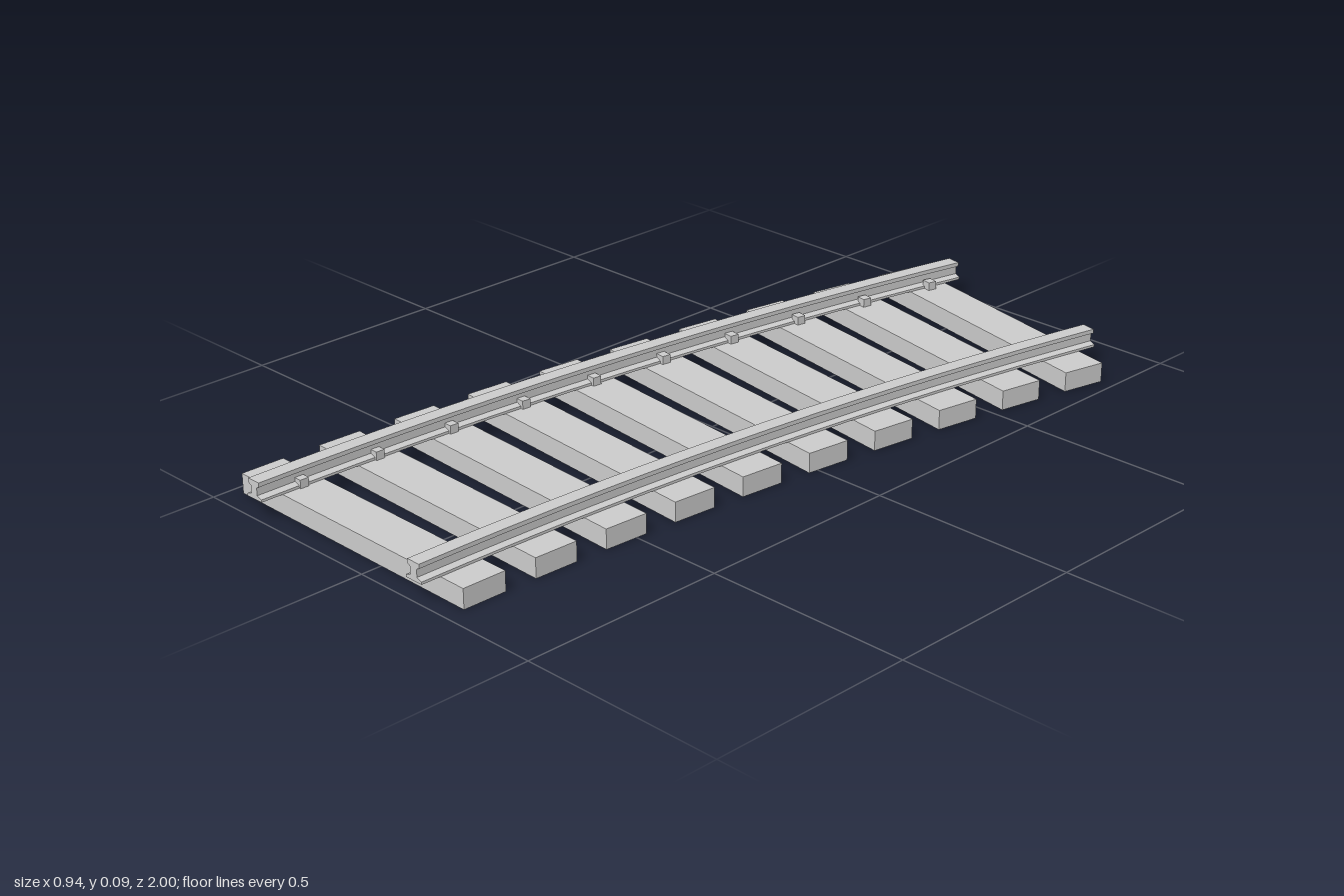
import * as THREE from 'three';

const TIE_H = 0.047;
const material = new THREE.MeshStandardMaterial({ color: 0xcccccc, flatShading: true });

// I-shaped rail section, mirrored from its right half
function railProfile() {
  const half = [[0.024, 0], [0.024, 0.006], [0.01, 0.011], [0.01, 0.029], [0.018, 0.033], [0.018, 0.043]];
  const left = half.map(([x, y]) => [-x, y]).reverse();
  return new THREE.Shape([...half, ...left].map(([x, y]) => new THREE.Vector2(x, y + TIE_H)));
}

// Straight extrusion bent along an arc that starts at (startX, z = 1) and curves towards +x
function curvedRail(name, startX, radius, angle) {
  const geo = new THREE.ExtrudeGeometry(railProfile(), { depth: 1, steps: 16, bevelEnabled: false });
  const p = geo.attributes.position;
  for (let i = 0; i < p.count; i++) {
    const a = angle * (1 - p.getZ(i));
    const x = p.getX(i);
    p.setX(i, startX + radius * (1 - Math.cos(a)) + x * Math.cos(a));
    p.setZ(i, 1 - radius * Math.sin(a) + x * Math.sin(a));
  }
  geo.computeVertexNormals();
  const mesh = new THREE.Mesh(geo, material);
  mesh.name = name;
  return mesh;
}

function box(name, w, h, d, x, y, z) {
  const mesh = new THREE.Mesh(new THREE.BoxGeometry(w, h, d), material);
  mesh.name = name;
  mesh.position.set(x, y, z);
  return mesh;
}

export function createModel() {
  const model = new THREE.Group();
  model.name = 'curvedTrack';

  // Two concentric rails
  model.add(curvedRail('outerRail', -0.35, 9.35, 0.215));
  model.add(curvedRail('innerRail', 0.167, 8.833, 0.215));

  // Ten sleepers fanned along the curve, each with a clip inside either rail
  const R = 8.5;
  for (let i = 0; i < 10; i++) {
    const a = 0.0124 + i * 0.0229;
    const sleeper = new THREE.Group();
    sleeper.name = 'sleeper' + (i + 1);
    sleeper.add(box('tie', 0.73, TIE_H, 0.108, 0, TIE_H / 2, 0));
    sleeper.add(box('outerRailClip', 0.024, 0.02, 0.022, -0.228, TIE_H + 0.01, 0));
    sleeper.add(box('innerRailClip', 0.024, 0.02, 0.022, 0.242, TIE_H + 0.01, 0));
    sleeper.position.set(-0.105 + R * (1 - Math.cos(a)), 0, 1 - R * Math.sin(a));
    sleeper.rotation.y = -a;
    model.add(sleeper);
  }
  return model;
}
